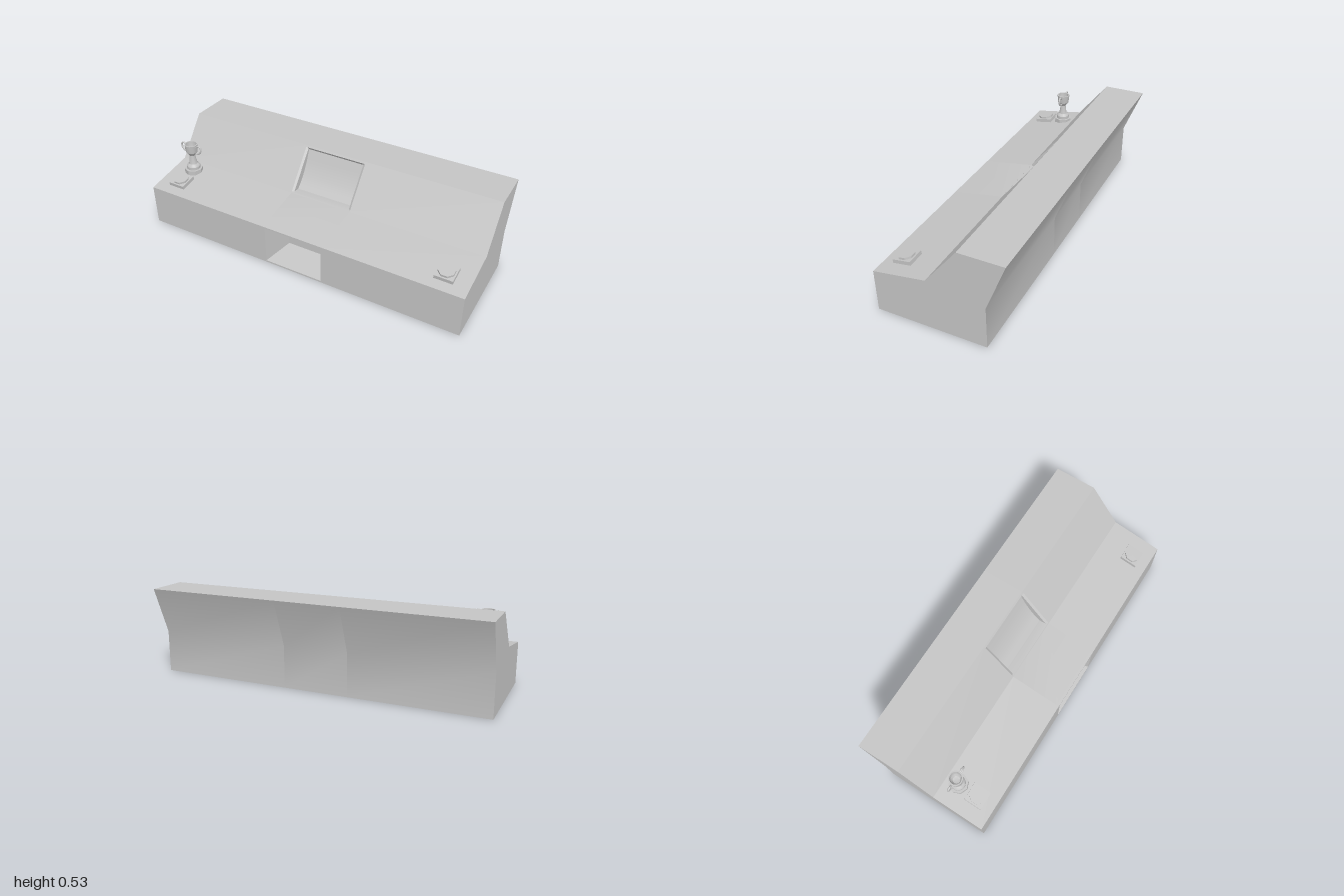
import * as THREE from 'three';
import { toCreasedNormals } from 'three/addons/utils/BufferGeometryUtils.js';

const grey = new THREE.MeshStandardMaterial({ color: 0xc4c4c4 });
grey.name = 'plain grey';

function add(parent, geometry, name) {
  const mesh = new THREE.Mesh(toCreasedNormals(geometry, 0.5), grey);
  mesh.name = name;
  parent.add(mesh);
  return mesh;
}

// Side profile of [z, y] points, extruded from x0 to x1
function sidePrism(points, x0, x1) {
  const shape = new THREE.Shape(points.map(([z, y]) => new THREE.Vector2(-z, y)));
  return new THREE.ExtrudeGeometry(shape, { depth: x1 - x0, bevelEnabled: false })
    .rotateY(Math.PI / 2).translate(x0, 0, 0);
}

// Plan outline of [x, z] points, extruded from y0 to y1
function planPrism(points, y0, y1) {
  const shape = new THREE.Shape(points.map(([x, z]) => new THREE.Vector2(x, -z)));
  return new THREE.ExtrudeGeometry(shape, { depth: y1 - y0, bevelEnabled: false })
    .rotateX(-Math.PI / 2).translate(0, y0, 0);
}

const HALF = 0.195;                       // half width of the middle section
const frontLow = [0.372, 0], frontHigh = [0.372, 0.25], bend = [0.065, 0.3];
const back = [[-0.12, 0.532], [-0.372, 0.532], [-0.262, 0.25], [-0.262, 0]];

// Screen pocket: ledge, concave screen, lip under the top edge
const curve = new THREE.SplineCurve([[0.008, 0.3], [-0.04, 0.35], [-0.085, 0.42], [-0.125, 0.505]]
  .map(p => new THREE.Vector2(...p))).getPoints(14).map(p => [p.x, p.y]);
const pocket = [[0.061, 0.305], ...curve, [-0.112, 0.522]];

function createConsole() {
  const group = new THREE.Group();
  group.name = 'console';
  const endProfile = [frontLow, frontHigh, bend, ...back];
  add(group, sidePrism(endProfile, -1, -HALF), 'rightBlock');
  add(group, sidePrism(endProfile, HALF, 1), 'leftBlock');

  // Middle section with the front hatch and the screen cut into its profile
  const middle = [frontLow, [0.372, 0.01], [0.2, 0.04], [0.2, 0.215], [0.372, 0.24],
    frontHigh, bend, ...pocket, ...back];
  add(group, sidePrism(middle, -HALF, HALF), 'middleBlock');

  for (const s of [-1, 1]) {
    // Tapered side of the front hatch
    add(group, planPrism([[s * HALF, 0.372], [s * 0.182, 0.372], [s * 0.133, 0.2], [s * HALF, 0.2]],
      0.005, 0.245), 'hatchSide');

    // Side of the screen pocket, its front edge bevelled inwards
    const cheek = s < 0 ? sidePrism(pocket, -HALF, -0.182) : sidePrism(pocket, 0.182, HALF);
    const p = cheek.attributes.position;
    for (let i = 0; i < p.count; i++) {
      const onSlope = p.getZ(i) > 0.05 || p.getY(i) > 0.515;
      if (onSlope && Math.abs(p.getX(i)) < 0.19) p.setZ(i, p.getZ(i) - 0.011);
    }
    add(group, cheek, 'screenSide');
  }
  return group;
}

// Square pad with an eight-sided button, lying on the sloping deck
function createPad(x) {
  const group = new THREE.Group();
  group.name = 'buttonPad';
  add(group, new THREE.BoxGeometry(0.105, 0.024, 0.105), 'padBase').position.y = 0.01;
  add(group, new THREE.CylinderGeometry(0.047, 0.047, 0.012, 8).rotateY(Math.PI / 8), 'button')
    .position.y = 0.028;
  group.position.set(x, 0.268, 0.259);
  group.rotation.x = Math.atan2(0.05, 0.307);
  return group;
}

function createTrophy() {
  const group = new THREE.Group();
  group.name = 'trophy';
  add(group, new THREE.CylinderGeometry(0.056, 0.056, 0.034, 8), 'trophyBase').position.y = 0.294;

  // Foot, stem and hollow cup
  const profile = [[0.041, 0.309], [0.041, 0.328], [0.037, 0.335], [0.026, 0.344], [0.021, 0.368],
    [0.017, 0.4], [0.02, 0.405], [0.035, 0.425], [0.037, 0.44], [0.04, 0.476],
    [0.033, 0.476], [0.03, 0.436], [0.02, 0.42], [0, 0.415]];
  add(group, new THREE.LatheGeometry(profile.map(p => new THREE.Vector2(...p)), 24), 'cup');

  for (const s of [-1, 1]) {
    const path = new THREE.CatmullRomCurve3([[0.036, 0.46], [0.054, 0.473], [0.07, 0.463],
      [0.071, 0.443], [0.055, 0.422], [0.03, 0.416]].map(([x, y]) => new THREE.Vector3(s * x, y, 0)));
    add(group, new THREE.TubeGeometry(path, 20, 0.0055, 8), 'handle');
  }
  group.position.set(-0.865, 0, 0.138);
  return group;
}

export function createModel() {
  const model = new THREE.Group();
  model.name = 'displayConsole';
  model.add(createConsole(), createPad(-0.865), createPad(0.86), createTrophy());
  return model;
}
